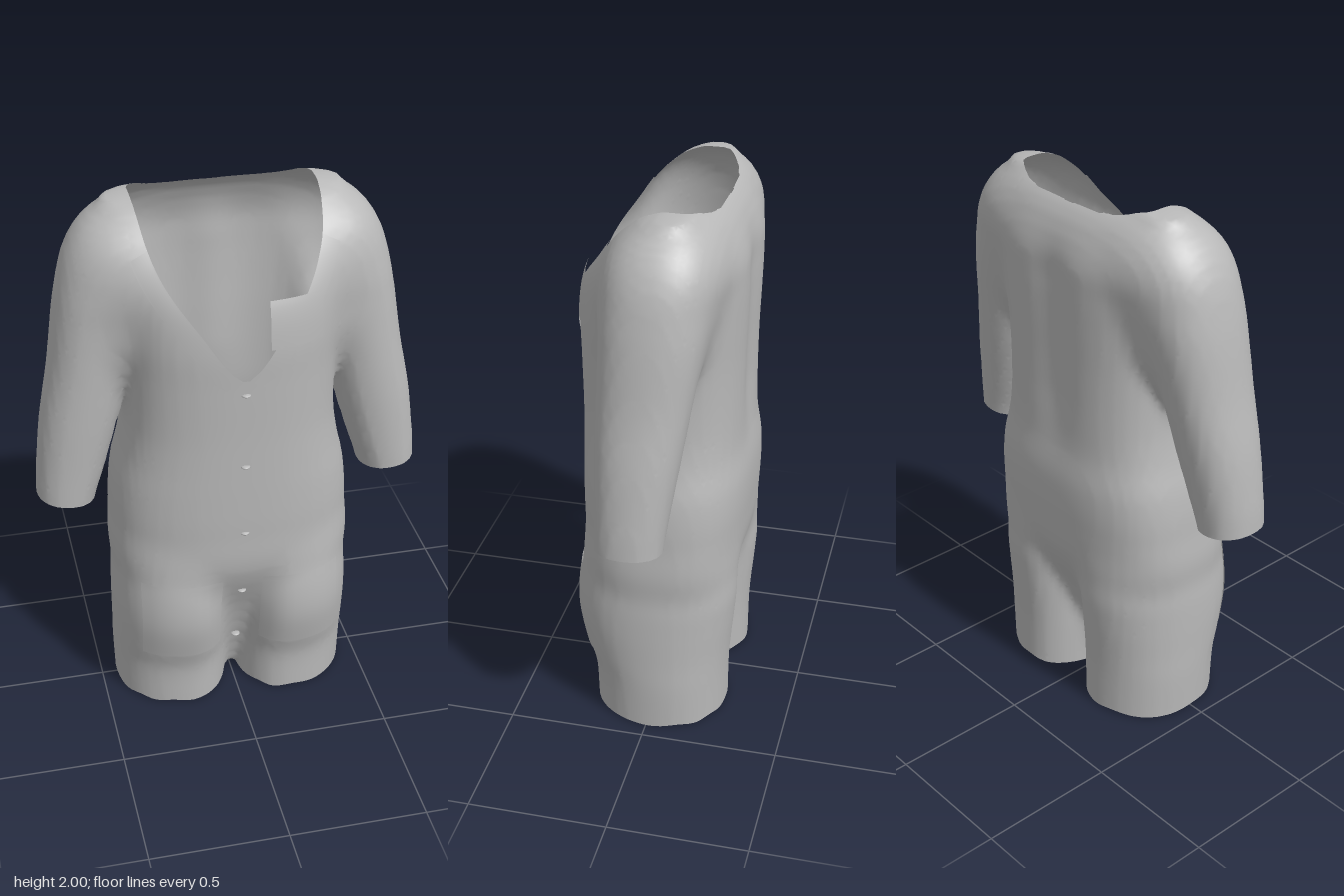
import * as THREE from 'three';
import { mergeVertices } from 'three/addons/utils/BufferGeometryUtils.js';

// Smooth interpolation through rows of [y, a, b, c, ...]
function sample(rows, y, k) {
  const n = rows.length - 1;
  if (y <= rows[0][0]) return rows[0][k];
  if (y >= rows[n][0]) return rows[n][k];
  let i = 0;
  while (y > rows[i + 1][0]) i++;
  const slope = (j) => {
    const a = rows[Math.max(j - 1, 0)], b = rows[Math.min(j + 1, n)];
    return (b[k] - a[k]) / (b[0] - a[0]);
  };
  const p = rows[i], q = rows[i + 1], h = q[0] - p[0], t = (y - p[0]) / h;
  const t2 = t * t, t3 = t2 * t;
  return (2 * t3 - 3 * t2 + 1) * p[k] + (t3 - 2 * t2 + t) * h * slope(i)
    + (3 * t2 - 2 * t3) * q[k] + (t3 - t2) * h * slope(i + 1);
}

// Cross-sections: [y, inner x, outer x, front z, back z]
const TORSO = [
  [0.04, -0.06, 0.06, 0.07, -0.07], [0.2, -0.1, 0.1, 0.13, -0.11], [0.4, -0.28, 0.28, 0.2, -0.19],
  [0.62, -0.43, 0.43, 0.287, -0.282],
  [0.8, -0.438, 0.438, 0.298, -0.303], [0.95, -0.425, 0.425, 0.3, -0.305], [1.08, -0.395, 0.395, 0.3, -0.29],
  [1.2, -0.378, 0.378, 0.3, -0.288], [1.4, -0.375, 0.375, 0.303, -0.29], [1.56, -0.385, 0.385, 0.303, -0.295],
  [1.7, -0.4, 0.4, 0.28, -0.297], [1.8, -0.425, 0.425, 0.225, -0.29], [1.9, -0.43, 0.43, 0.14, -0.252],
  [1.96, -0.39, 0.39, 0.06, -0.21], [1.99, -0.32, 0.32, 0.0, -0.16],
];
const LEG = [
  [0, 0.022, 0.443, 0.235, -0.258], [0.17, 0.02, 0.448, 0.243, -0.26], [0.27, 0.02, 0.448, 0.272, -0.266],
  [0.4, 0.02, 0.448, 0.298, -0.278], [0.52, 0.02, 0.444, 0.296, -0.285], [0.64, 0.03, 0.43, 0.272, -0.27],
  [0.78, 0.06, 0.39, 0.21, -0.21],
];
const SLEEVE = [
  [0.8, 0.515, 0.71, 0.125, -0.1], [0.92, 0.485, 0.705, 0.13, -0.11], [1.0, 0.458, 0.7, 0.132, -0.12],
  [1.2, 0.4, 0.675, 0.138, -0.15], [1.4, 0.355, 0.636, 0.14, -0.18], [1.6, 0.3, 0.606, 0.14, -0.21],
  [1.7, 0.26, 0.587, 0.14, -0.22], [1.8, 0.22, 0.56, 0.125, -0.22], [1.87, 0.2, 0.517, 0.1, -0.2],
  [1.93, 0.2, 0.45, 0.055, -0.155], [1.96, 0.2, 0.39, 0.02, -0.12],
];
// Half width of the V neckline by height
const NECK = [[1.3, -0.1], [1.43, 0.0], [1.475, 0.052], [1.617, 0.148], [1.765, 0.25], [1.87, 0.295], [2.0, 0.322]];

// Signed distance (approximate) to a stack of rounded sections;
// peak sets where across the width the section is deepest
function stack(rows, x, y, z, power, furrow = 0, peak = 0.5) {
  const x0 = sample(rows, y, 1), x1 = sample(rows, y, 2);
  const z0 = sample(rows, y, 4) + furrow, z1 = sample(rows, y, 3);
  const middle = x0 + (x1 - x0) * peak, w = x < middle ? middle - x0 : x1 - middle, d = (z1 - z0) / 2;
  const u = Math.abs(x - middle) / w, v = Math.abs(z - (z0 + z1) / 2) / d;
  return ((u ** power + v ** power) ** (1 / power) - 1) * Math.min((x1 - x0) / 2, d);
}

function blend(a, b, k) {
  const h = Math.max(k - Math.abs(a - b), 0) / k;
  return Math.min(a, b) - h * h * k / 4;
}

// The whole garment as one soft form
function form(x, y, z) {
  const ax = Math.abs(x), ramp = THREE.MathUtils.smoothstep;
  const spine = ramp(y, 1.0, 1.3) * (1 - ramp(y, 1.7, 1.92));
  const furrow = z < 0 ? 0.02 * Math.exp(-((x / 0.09) ** 2)) * spine : 0;
  const torso = Math.max(stack(TORSO, x, y, z, 2.5 + 0.4 * ramp(-z, 0, 0.1), furrow), 0.04 - y, y - 1.99);
  const leg = Math.max(stack(LEG, ax, y, z, 2.15, 0, 0.4), y - 0.78);
  const sleeve = Math.max(stack(SLEEVE, ax, y, z, 2.2), 0.78 - y, y - 1.96);
  const soft = 0.02 + 0.08 * ramp(y, 1.2, 1.55);
  return blend(blend(torso, leg, 0.04), sleeve, soft);
}

// Positive where cloth remains: cuts the hems, cuffs and neck opening
function cloth(x, y, z) {
  const ax = Math.abs(x);
  const hem = y - 0.01 - 0.004 * Math.sin(x * 40 + z * 25);
  const cuff = Math.max(0.465 - ax, y - 0.885 - 0.1 * (ax - 0.49));
  const round = THREE.MathUtils.clamp((z + 0.205) / 0.08, 0, 1) ** 0.3;
  const neck = Math.max(ax - sample(NECK, y, 1) * round, -0.205 - z);
  return Math.min(hem, cuff, neck);
}

// Mesh the form on a grid, then trim it along the cloth edges
function garmentGeometry() {
  const step = 0.024, n = [66, 92, 30], origin = [-33 * step, -0.1, -15 * step];
  const id = (i, j, k) => (i * n[1] + j) * n[2] + k;
  const stride = [n[1] * n[2], n[2], 1];
  const value = new Float32Array(n[0] * n[1] * n[2]);
  const each = (fn, m) => {
    for (let i = 0; i < n[0] - m; i++)
      for (let j = 0; j < n[1] - m; j++)
        for (let k = 0; k < n[2] - m; k++) fn([i, j, k], id(i, j, k));
  };
  each((c, q) => { value[q] = form(...c.map((v, a) => origin[a] + v * step)); }, 0);

  // One point per cell that the surface passes through
  const points = new Map();
  each((c, q) => {
    const sum = [0, 0, 0];
    let hits = 0;
    for (let a = 0; a < 3; a++) {
      const b = (a + 1) % 3, d = (a + 2) % 3;
      for (let m = 0; m < 4; m++) {
        const ob = m & 1, od = m >> 1;
        const s = q + ob * stride[b] + od * stride[d];
        const f0 = value[s], f1 = value[s + stride[a]];
        if ((f0 < 0) === (f1 < 0)) continue;
        sum[a] += f0 / (f0 - f1); sum[b] += ob; sum[d] += od;
        hits++;
      }
    }
    if (hits) points.set(q, sum.map((v, a) => origin[a] + (c[a] + v / hits) * step));
  }, 1);

  const out = [];
  const trim = (tri) => {
    const keep = [];
    tri.forEach((p, i) => {
      const q = tri[(i + 1) % 3], a = cloth(...p), b = cloth(...q);
      if (a >= 0) keep.push(p);
      if ((a >= 0) !== (b >= 0)) keep.push(p.map((v, m) => v + (q[m] - v) * a / (a - b)));
    });
    for (let i = 2; i < keep.length; i++) out.push(...keep[0], ...keep[i - 1], ...keep[i]);
  };
  each((c, q) => {
    for (let a = 0; a < 3; a++) {
      const b = (a + 1) % 3, d = (a + 2) % 3;
      const inside = value[q] < 0;
      if (!c[b] || !c[d] || inside === (value[q + stride[a]] < 0)) continue;
      const ring = [q - stride[b] - stride[d], q - stride[d], q, q - stride[b]].map((s) => points.get(s));
      if (ring.some((p) => !p)) continue;
      if (!inside) ring.reverse();
      trim([ring[0], ring[1], ring[2]]);
      trim([ring[0], ring[2], ring[3]]);
    }
  }, 1);

  const geometry = new THREE.BufferGeometry();
  geometry.setAttribute('position', new THREE.Float32BufferAttribute(out, 3));
  const smooth = mergeVertices(geometry, 1e-4);
  smooth.computeVertexNormals();
  return smooth;
}

// Front surface depth at a point, found by halving
function frontZ(x, y) {
  let near = 0, far = 0.4;
  for (let i = 0; i < 18; i++) {
    const mid = (near + far) / 2;
    if (form(x, y, mid) < 0) near = mid; else far = mid;
  }
  return near;
}

// Thin cloth patch laid over the front; place(u, v) gives [x, y]
function patch(name, material, place) {
  const geometry = new THREE.PlaneGeometry(1, 1, 10, 14);
  const pos = geometry.attributes.position;
  for (let i = 0; i < pos.count; i++) {
    const [x, y] = place(pos.getX(i) + 0.5, pos.getY(i) + 0.5);
    pos.setXYZ(i, x, y, frontZ(x, y) + 0.005);
  }
  geometry.computeVertexNormals();
  const mesh = new THREE.Mesh(geometry, material);
  mesh.name = name;
  return mesh;
}

export function createModel() {
  const group = new THREE.Group();
  group.name = 'romper';
  const fabric = new THREE.MeshStandardMaterial({ color: 0xb8b8b8, side: THREE.DoubleSide });
  fabric.name = 'grey fabric';

  const body = new THREE.Mesh(garmentGeometry(), fabric);
  body.name = 'garmentBody';
  group.add(body);

  // Pockets
  const pocket = (name, x0, x1, y0, y1) => group.add(
    patch(name, fabric, (u, v) => [x0 + (x1 - x0) * u, y0 + (y1 - y0) * v]));
  pocket('chestPocket', 0.085, 0.28, 1.55, 1.72);
  pocket('leftLegPocket', 0.075, 0.37, 0.26, 0.59);
  pocket('rightLegPocket', -0.37, -0.075, 0.26, 0.59);

  // Neckline facings
  for (const [name, s] of [['leftFacing', 1], ['rightFacing', -1]]) {
    group.add(patch(name, fabric, (u, v) => {
      const y = 1.44 + 0.44 * v, across = s > 0 ? u : 1 - u;
      return [s * (sample(NECK, y, 1) + 0.06 * across), y - 0.03 * across];
    }));
  }

  // Buttons down the centre front
  for (const [y, z] of [[1.385, 0.3], [1.095, 0.298], [0.81, 0.293], [0.52, 0.25], [0.235, 0.15]]) {
    const button = new THREE.Mesh(new THREE.SphereGeometry(0.017, 16, 10), fabric);
    button.name = 'button';
    button.scale.y = 0.35;
    button.position.set(0, y, z);
    group.add(button);
  }
  return group;
}
